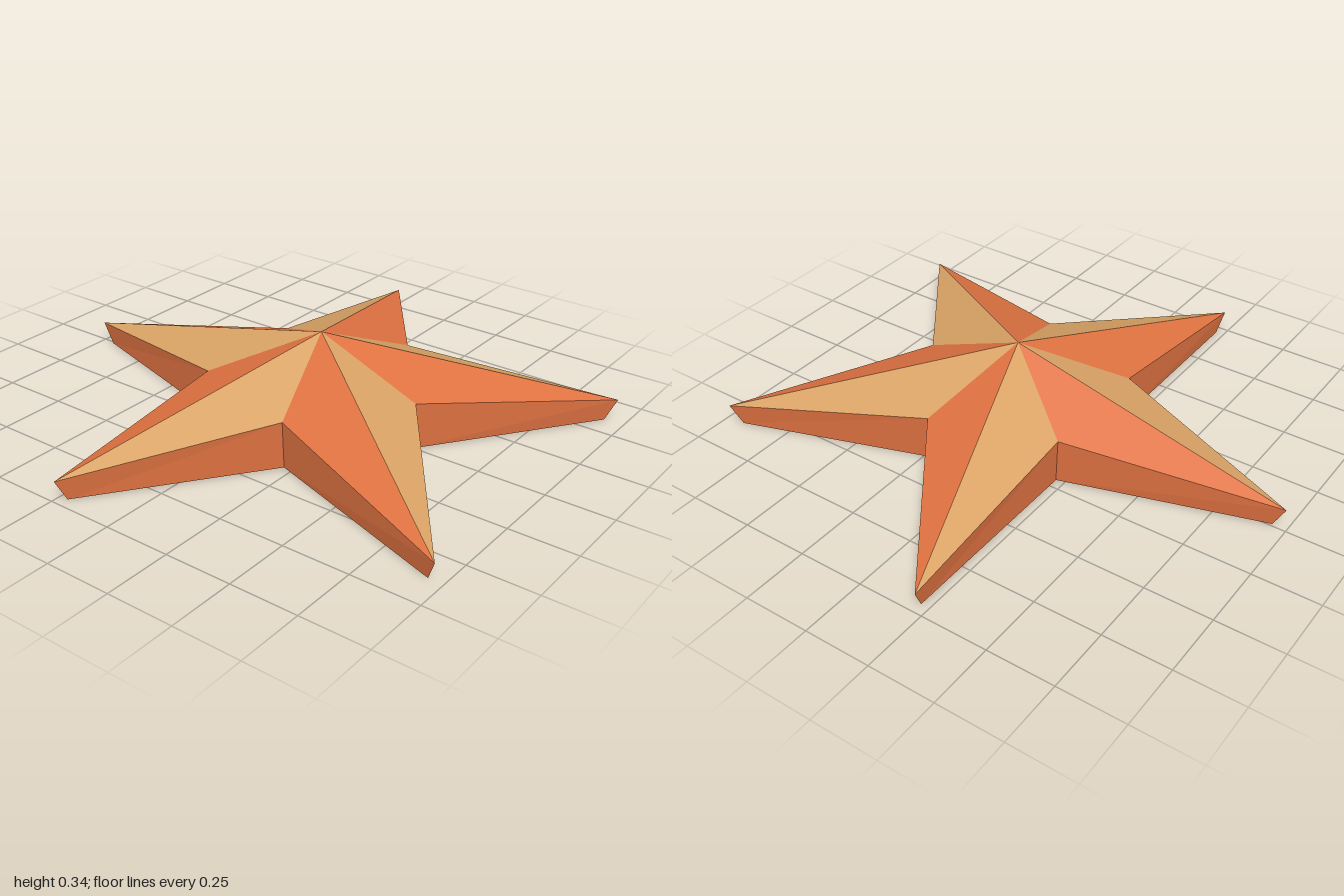
import * as THREE from 'three';

// Outline seen from above, clockwise: tip, valley, tip, valley ... as [x, z]
const OUTLINE = [
  [-0.01, -0.99], [0.22, -0.23], [1, -0.23], [0.37, 0.22], [0.62, 0.96],
  [-0.01, 0.5], [-0.65, 0.98], [-0.39, 0.22], [-1, -0.23], [-0.245, -0.23],
];
const CENTRE = [-0.01, 0.1];
const APEX_Y = 0.34, TIP_Y = 0.08, VALLEY_Y = 0.18, BASE_SCALE = 0.96;

// Flat-shaded mesh from a list of triangles
function facets(name, triangles, material) {
  const geometry = new THREE.BufferGeometry().setFromPoints(triangles.flat());
  geometry.computeVertexNormals();
  const mesh = new THREE.Mesh(geometry, material);
  mesh.name = name;
  return mesh;
}

export function createModel() {
  const orange = new THREE.MeshStandardMaterial({ name: 'burnt orange', color: 0xdf7241 });
  const tan = new THREE.MeshStandardMaterial({ name: 'sandy tan', color: 0xdaa365 });

  const [cx, cz] = CENTRE;
  const apex = new THREE.Vector3(cx, APEX_Y, cz);
  const baseCentre = new THREE.Vector3(cx, 0, cz);
  const rim = OUTLINE.map(([x, z], i) => new THREE.Vector3(x, i % 2 ? VALLEY_Y : TIP_Y, z));
  const base = OUTLINE.map(([x, z]) => new THREE.Vector3(
    cx + (x - cx) * BASE_SCALE, 0, cz + (z - cz) * BASE_SCALE));

  const orangeTop = [], tanTop = [], sides = [], underside = [];
  for (let i = 0; i < rim.length; i++) {
    const j = (i + 1) % rim.length;
    // Each arm has one orange and one tan slope
    (i % 2 ? tanTop : orangeTop).push([apex, rim[j], rim[i]]);
    // Tapered wall below the rim
    sides.push([rim[i], rim[j], base[j]], [rim[i], base[j], base[i]]);
    underside.push([baseCentre, base[i], base[j]]);
  }

  const star = new THREE.Group();
  star.name = 'star';
  star.add(
    facets('orangeSlopes', orangeTop, orange),
    facets('tanSlopes', tanTop, tan),
    facets('sideWalls', sides, orange),
    facets('underside', underside, orange),
  );
  return star;
}
